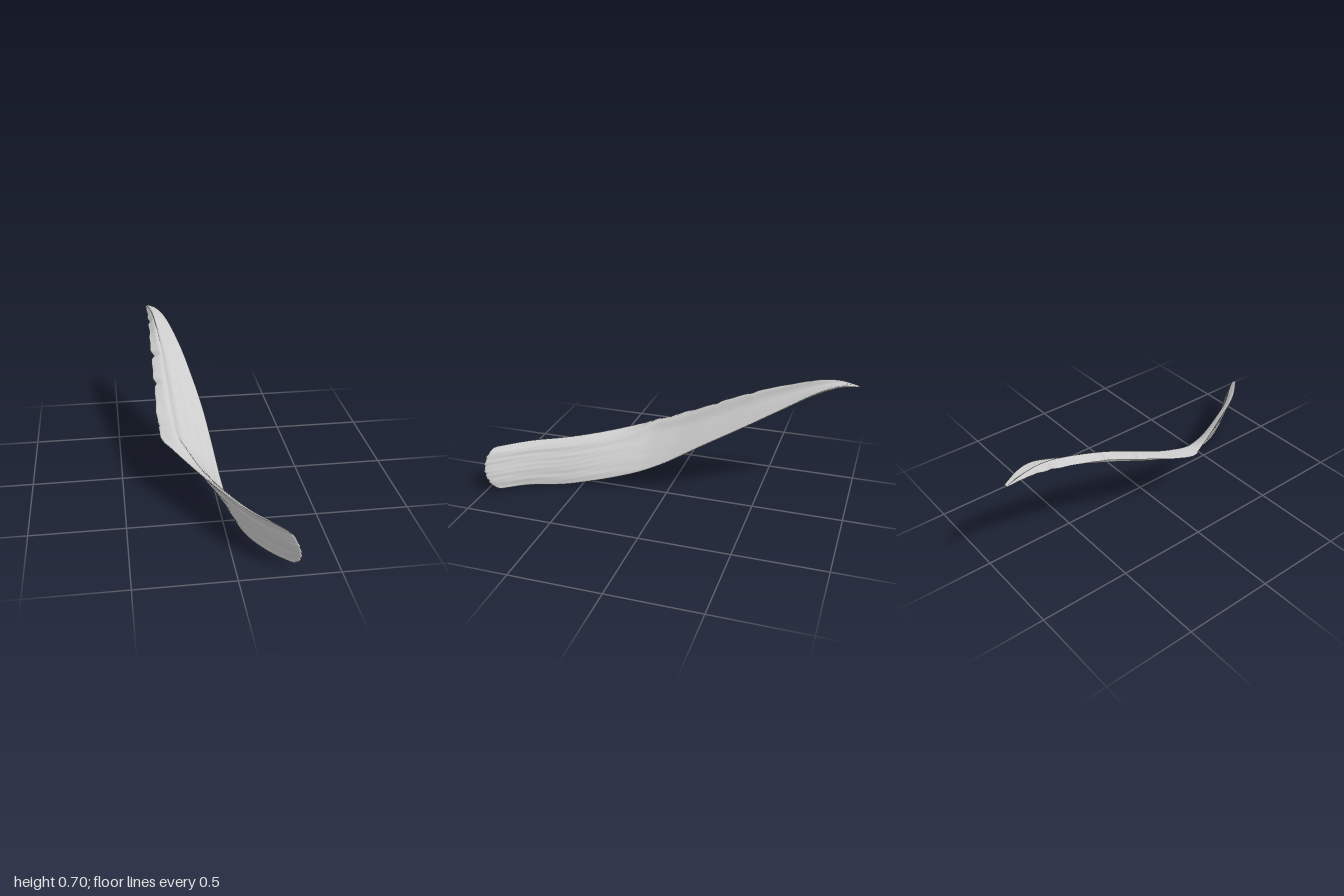
import * as THREE from 'three';
import { ParametricGeometry } from 'three/addons/geometries/ParametricGeometry.js';

const { lerp, smoothstep } = THREE.MathUtils;
const curve = (pts) => new THREE.CatmullRomCurve3(pts.map((p) => new THREE.Vector3(...p)));

// The two long edges of the twisted sheet, listed from the back tip to the front end
const upperEdge = curve([
  [-0.282, 0.675, -0.998], [-0.284, 0.685, -0.9], [-0.28, 0.677, -0.8], [-0.282, 0.632, -0.6],
  [-0.284, 0.567, -0.4], [-0.286, 0.478, -0.2], [-0.288, 0.388, 0], [-0.276, 0.332, 0.15],
  [-0.234, 0.308, 0.23], [-0.14, 0.277, 0.4], [-0.025, 0.259, 0.6], [0.085, 0.255, 0.8],
  [0.207, 0.253, 0.95],
]);
const lowerEdge = curve([
  [-0.262, 0.678, -0.998], [-0.215, 0.684, -0.9], [-0.17, 0.658, -0.8], [-0.102, 0.552, -0.6],
  [-0.055, 0.435, -0.4], [-0.017, 0.32, -0.2], [0.01, 0.2, 0], [0.023, 0.125, 0.15],
  [0.029, 0.09, 0.24], [0.045, 0.04, 0.4], [0.09, 0.001, 0.6], [0.175, 0.009, 0.79],
  [0.268, 0.015, 0.91],
]);

// Ragged upper edge: a fine tremble on the back half and a few torn notches
const notches = [[0.19, 0.01], [0.32, 0.018], [0.405, 0.018], [0.53, 0.008]];
function ragged(s) {
  const tremble = 0.002 * (Math.sin(s * 61) + Math.sin(s * 137 + 1)) * (1 - smoothstep(s, 0.55, 0.75));
  return notches.reduce((sum, [at, depth]) => sum + depth * Math.exp(-(((s - at) / 0.007) ** 2)), tremble);
}

// Faint lengthwise creases that drift across the sheet and come and go
const creases = (s, v) => 0.0014 * Math.sin(v * 19 + s * 7 + Math.sin(s * 11)) * Math.sin(s * 13 + v * 9)
  + 0.0008 * Math.sin(v * 47 - s * 9 + 2 * Math.sin(s * 6 + v * 3)) * Math.cos(s * 17 - v * 11);

// Rolled lip along the upper edge: a crest just inside the rim, which droops; slight at the front
function lip(s, v) {
  const crest = 0.03 * Math.exp(-(((v - 0.18) / 0.12) ** 2));
  const droop = 0.016 * Math.pow(1 - v, 12);
  return (crest - droop) * lerp(1, 0.2, smoothstep(s, 0.58, 0.75));
}

// Point on the sheet: s runs back to front, v from upper to lower edge, side is +1 top, -1 underside
function sheetPoint(s, v, side, target) {
  const a = upperEdge.getPoint(s);
  const across = lowerEdge.getPoint(s).sub(a);
  const along = upperEdge.getTangent(s).lerp(lowerEdge.getTangent(s), v);
  const normal = along.cross(across).normalize();
  const arch = 4 * v * (1 - v);
  const open = Math.min(1, s * 5);

  target.copy(a).addScaledVector(across, v);
  target.addScaledVector(across.normalize(), ragged(s) * open * Math.pow(1 - v, 8));
  // hollow at the back, flat at the front, thinning out at every edge
  const hollow = lerp(-0.016, 0.01, smoothstep(s, 0.35, 0.65)) * arch;
  const thin = Math.pow(arch, 0.4) * Math.sqrt(Math.min(1, s * 8, (1 - s) * 25));
  const halfThickness = lerp(0.011, 0.015, smoothstep(s, 0.7, 0.9));
  target.addScaledVector(normal, (hollow + lip(s, v) + creases(s, v)) * open + side * halfThickness * thin);
  // rounded, slightly frayed front end
  const end = smoothstep(s, 0.88, 1) * Math.pow(arch, 0.6) * (1 + 0.03 * Math.sin(v * 40) + 0.02 * Math.sin(v * 73));
  target.x += 0.052 * end;
  target.z += 0.07 * end;
}

export function createModel() {
  const group = new THREE.Group();
  group.name = 'twistedSheet';
  const material = new THREE.MeshStandardMaterial({
    color: 0xcccccc, side: THREE.DoubleSide,
  });

  const faces = [['upperFace', 1], ['underside', -1]];
  for (const [name, side] of faces) {
    // the underside runs the other way so that it faces outwards
    const surface = (u, v, target) => sheetPoint(side > 0 ? u : 1 - u, v, side, target);
    const mesh = new THREE.Mesh(new ParametricGeometry(surface, 200, 60), material);
    mesh.name = name;
    group.add(mesh);
  }
  return group;
}
